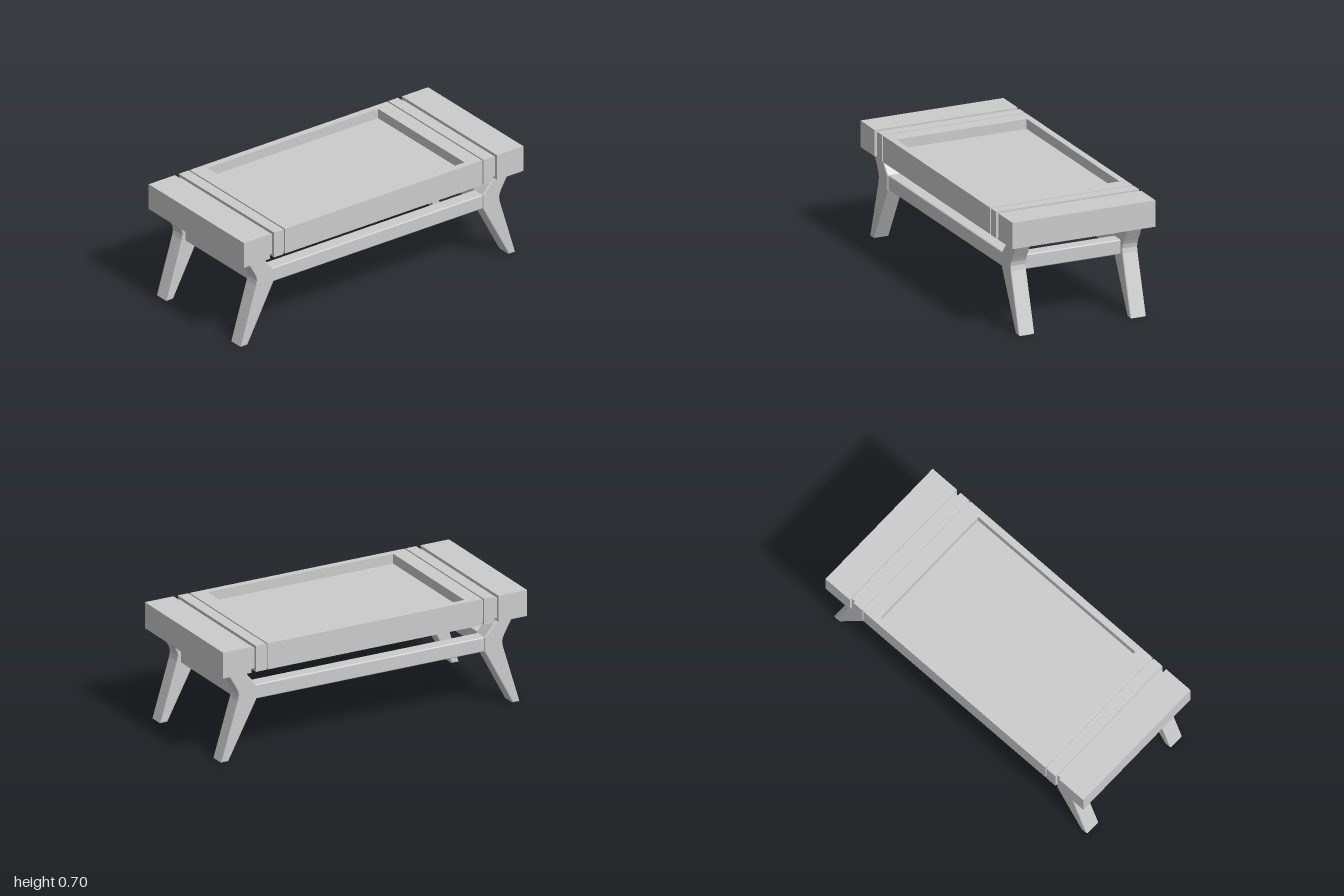
import * as THREE from 'three';
import { RoundedBoxGeometry } from 'three/addons/geometries/RoundedBoxGeometry.js';

const material = new THREE.MeshStandardMaterial({ color: 0xcccccc });
const TOP = 0.7, BOTTOM = 0.54, HALF_DEPTH = 0.455;
const MID_Y = (TOP + BOTTOM) / 2, THICK = TOP - BOTTOM;

function add(parent, name, geometry, x = 0, y = 0, z = 0) {
  const mesh = new THREE.Mesh(geometry, material);
  mesh.name = name;
  mesh.position.set(x, y, z);
  parent.add(mesh);
  return mesh;
}

// Box spanning x0..x1 on one side of the table (s = 1 or -1)
function slab(parent, name, s, x0, x1, inset = 0) {
  const g = new THREE.BoxGeometry(x1 - x0, THICK - 2 * inset, 2 * (HALF_DEPTH - inset));
  add(parent, name, g, s * (x0 + x1) / 2, MID_Y);
}

function rectangle(PathType, hx, hz) {
  return new PathType([[-hx, -hz], [hx, -hz], [hx, hz], [-hx, hz]].map(p => new THREE.Vector2(...p)));
}

function createTabletop() {
  const top = new THREE.Group();
  top.name = 'tabletop';

  // Centre frame with a rectangular opening
  const outline = rectangle(THREE.Shape, 0.706, HALF_DEPTH);
  outline.holes.push(rectangle(THREE.Path, 0.61, 0.414));
  const frame = new THREE.ExtrudeGeometry(outline, { depth: THICK, bevelEnabled: false });
  frame.rotateX(-Math.PI / 2);
  add(top, 'centreFrame', frame, 0, BOTTOM);

  // Sunken panel, recessed above and below
  add(top, 'sunkenPanel', new THREE.BoxGeometry(1.23, 0.04, 0.838), 0, 0.62);

  // Narrow strips and end blocks, joined by inset cores that form the grooves
  for (const s of [-1, 1]) {
    slab(top, 'grooveStrip', s, 0.715, 0.784);
    slab(top, 'endBlock', s, 0.812, 1);
    slab(top, 'narrowGroove', s, 0.7, 0.72, 0.01);
    slab(top, 'wideGroove', s, 0.775, 0.82, 0.018);
  }
  return top;
}

// Bent leg: outer edge waisted at the knee, inner edge holding the rails
function legGeometry(s) {
  const bevel = 0.008;
  const profile = [
    [0.945, 0.545], [0.885, 0.44], [0.873, 0.415], [0.868, 0.39], [0.873, 0.36],
    [0.982, 0], [0.935, 0], [0.75, 0.348], [0.75, 0.436], [0.838, 0.545],
  ];
  const shape = new THREE.Shape(profile.map(([x, y]) => new THREE.Vector2(s * x, y)));
  const g = new THREE.ExtrudeGeometry(shape, {
    depth: 0.1 - 2 * bevel, bevelThickness: bevel, bevelSize: bevel,
    bevelOffset: -bevel, bevelSegments: 2,
  });
  g.translate(0, 0, -0.05 + bevel);
  return g;
}

export function createModel() {
  const model = new THREE.Group();
  model.name = 'coffeeTable';
  model.add(createTabletop());

  // Legs and stretcher rails
  const longRail = new RoundedBoxGeometry(1.54, 0.09, 0.084, 2, 0.008);
  const endRail = new RoundedBoxGeometry(0.084, 0.09, 0.63, 2, 0.008);
  for (const s of [-1, 1]) {
    for (const z of [-0.355, 0.355]) add(model, 'leg', legGeometry(s), 0, 0, z);
    add(model, 'longRail', longRail, 0, 0.392, s * 0.355);
    add(model, 'endRail', endRail, s * 0.805, 0.392, 0);
  }
  return model;
}
